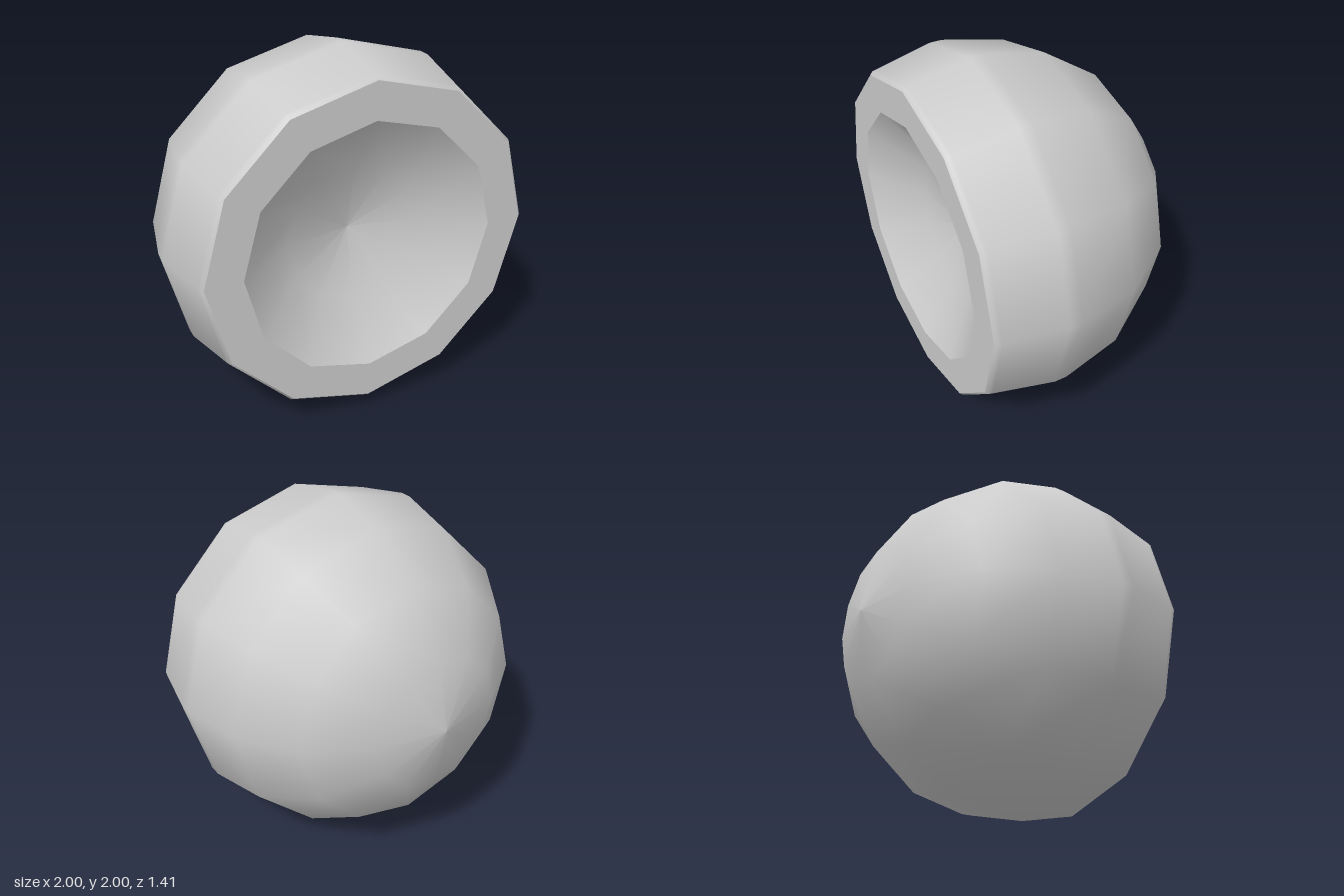
import * as THREE from 'three';

const SIDES = 12;
const material = new THREE.MeshStandardMaterial({ color: 0xcccccc });

// Revolve a profile of [radius, z] pairs around the front-back axis
function revolve(name, profile) {
  const points = profile.map(([r, z]) => new THREE.Vector2(r, z));
  const geometry = new THREE.LatheGeometry(points, SIDES);
  geometry.rotateX(Math.PI / 2);
  const mesh = new THREE.Mesh(geometry, material);
  mesh.name = name;
  mesh.position.y = 1;
  return mesh;
}

// Points on a unit arc every 22.5 degrees, as [radius, distance from centre]
function arc(from, to) {
  const points = [];
  const step = Math.sign(to - from);
  for (let i = from; i !== to + step; i += step) {
    const a = (i * Math.PI) / 8;
    points.push([i === 0 ? 0 : Math.sin(a), Math.cos(a)]);
  }
  return points;
}

export function createModel() {
  const group = new THREE.Group();
  const front = 0.705;
  const centre = 0.295;

  // Rounded back, softened widest ring, tapered front and bevelled lip
  const back = arc(0, 3).map(([r, d]) => [r, centre - d]);
  group.add(revolve('shell', [
    ...back, [1, 0.265], [1, 0.335], [0.93, 0.67], [0.925, 0.69], [0.91, front],
  ]));

  // Flat rim around the opening
  const opening = Math.SQRT1_2;
  group.add(revolve('rim', [[0.91, front], [opening, front]]));

  // Shallow concave dish, a unit-sphere cap pressed inward
  const dish = arc(2, 0).map(([r, d]) => [r, front - (d - opening)]);
  group.add(revolve('dish', dish));

  return group;
}
